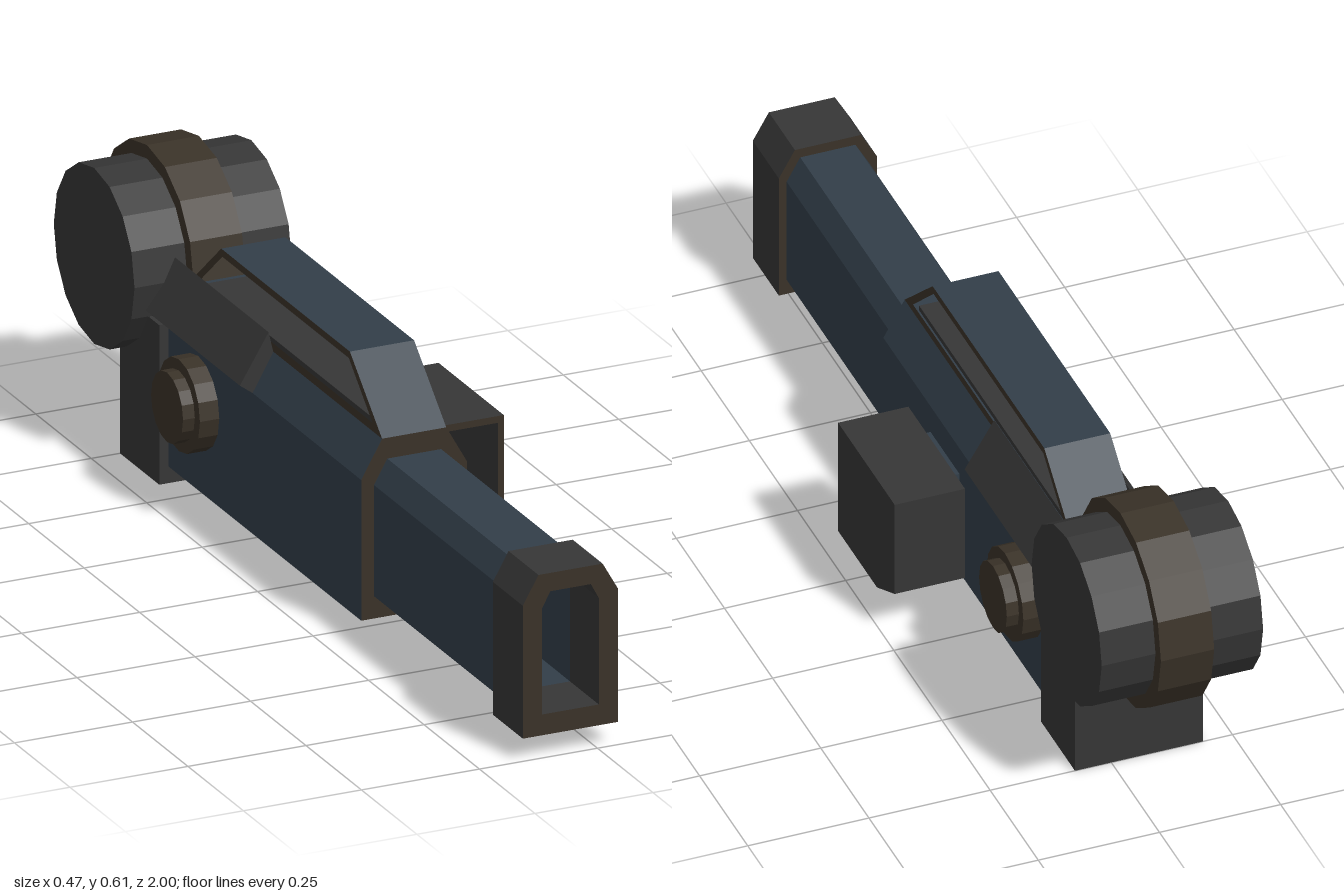
import * as THREE from 'three';

const mat = (color) => new THREE.MeshStandardMaterial({ color, flatShading: true });
const grey = mat(0x363636), brown = mat(0x3a3228), blue = mat(0x323e49);
const CX = -0.057; // centre plane of the long housing

const shapeOf = (pts) => new THREE.Shape(pts.map(([x, y]) => new THREE.Vector2(x, y)));

// Upright section with chamfered top corners, centred on CX
const section = (w, y0, yc, y1, topW) => [
  [CX - w, y0], [CX + w, y0], [CX + w, yc], [CX + topW, y1], [CX - topW, y1], [CX - w, yc],
];

export function createModel() {
  const model = new THREE.Group();

  const add = (name, geometry, material, x = 0, y = 0, z = 0) => {
    const mesh = new THREE.Mesh(geometry, material);
    mesh.name = name;
    mesh.position.set(x, y, z);
    model.add(mesh);
    return mesh;
  };

  // Extrude an xy outline from z0 to z1
  const alongZ = (name, pts, z0, z1, material, hole) => {
    const shape = shapeOf(pts);
    if (hole) shape.holes.push(new THREE.Path(hole.map(([x, y]) => new THREE.Vector2(x, y))));
    const g = new THREE.ExtrudeGeometry(shape, { depth: z1 - z0, bevelEnabled: false });
    return add(name, g, material, 0, 0, z0);
  };

  // Extrude a (z, y) outline from x0 to x1
  const alongX = (name, pts, x0, x1, material, hole) => {
    const shape = shapeOf(pts.map(([z, y]) => [-z, y]));
    if (hole) shape.holes.push(new THREE.Path(hole.map(([z, y]) => new THREE.Vector2(-z, y))));
    const g = new THREE.ExtrudeGeometry(shape, { depth: x1 - x0, bevelEnabled: false });
    g.rotateY(Math.PI / 2);
    return add(name, g, material, x0);
  };

  const box = (name, x0, x1, y0, y1, z0, z1, material) =>
    add(name, new THREE.BoxGeometry(x1 - x0, y1 - y0, z1 - z0), material,
      (x0 + x1) / 2, (y0 + y1) / 2, (z0 + z1) / 2);

  const drum = (name, r, x0, x1, y, z, material) => {
    const g = new THREE.CylinderGeometry(r, r, x1 - x0, 16);
    g.rotateZ(Math.PI / 2);
    return add(name, g, material, (x0 + x1) / 2, y, z);
  };

  // Hollow housing: muzzle, barrel and body share one bore
  const bore = section(0.06, 0.09, 0.31, 0.342, 0.043);
  alongZ('muzzle', section(0.101, 0.047, 0.322, 0.38, 0.068), 0.865, 1, [brown, grey], bore);
  alongZ('barrel', section(0.085, 0.08, 0.31, 0.36, 0.057), 0.28, 0.87, [brown, blue], bore);
  alongZ('body', section(0.112, 0.034, 0.325, 0.403, 0.068), -0.575, 0.295, [brown, blue], bore);
  box('bodyBackWall', CX - 0.08, CX + 0.08, 0.06, 0.2, -0.572, -0.56, blue);

  // Open top handle: a thin loop with sloped ends
  alongX('handle',
    [[0.295, 0.403], [0.15, 0.53], [-0.43, 0.53], [-0.58, 0.403]], CX - 0.068, CX + 0.068, [brown, blue],
    [[0.252, 0.42], [0.145, 0.515], [-0.425, 0.515], [-0.537, 0.42]]);
  box('handleFloor', CX - 0.06, CX + 0.06, 0.412, 0.423, -0.52, 0.24, grey);

  // Sloped shroud plates lying on the body chamfers
  for (const s of [1, -1]) {
    const plate = [[0.112, 0.325], [0.139, 0.345], [0.078, 0.445], [0.068, 0.402]];
    alongZ(s > 0 ? 'leftShroud' : 'rightShroud', plate.map(([x, y]) => [CX + s * x, y]), -0.68, -0.195, grey);
  }

  // Rear block and drum with its raised band
  box('rearBlock', CX - 0.132, CX + 0.132, 0, 0.33, -0.75, -0.573, grey);
  drum('rearDrum', 0.182, -0.225, 0.108, 0.4, -0.79, grey);
  drum('drumBand', 0.21, -0.113, -0.003, 0.4, -0.79, brown);

  // Stepped pivot running through the body
  drum('pivot', 0.095, CX - 0.153, CX + 0.153, 0.217, -0.44, brown);
  drum('pivotCaps', 0.072, CX - 0.178, CX + 0.178, 0.217, -0.44, brown);

  // Side scope: a hollow hood open to the front, with a blue pane inside
  const hood = [[0.078, 0.058], [0.078, 0.312], [-0.212, 0.312], [-0.212, 0.103], [-0.12, 0.058]];
  const hoodWall = [
    ...hood.slice(1), [0.078, 0.058], [0.078, 0.073], [-0.117, 0.073],
    [-0.199, 0.111], [-0.199, 0.298], [0.078, 0.298],
  ];
  alongX('scopeShell', hoodWall, 0.1, 0.221, grey);
  alongX('scopeInnerSide', hood, 0.088, 0.1, grey);
  alongX('scopeOuterSide', hood, 0.221, 0.233, grey);
  const rect = (x0, x1, y0, y1) => [[x0, y0], [x1, y0], [x1, y1], [x0, y1]];
  alongZ('scopeRim', rect(0.088, 0.233, 0.058, 0.312), 0.077, 0.082, [brown, grey], rect(0.1, 0.221, 0.073, 0.298));
  box('scopePane', 0.1, 0.221, 0.111, 0.292, -0.2, -0.19, blue);
  box('scopeMount', 0.045, 0.09, 0.105, 0.265, -0.1, 0.05, blue);

  return model;
}
